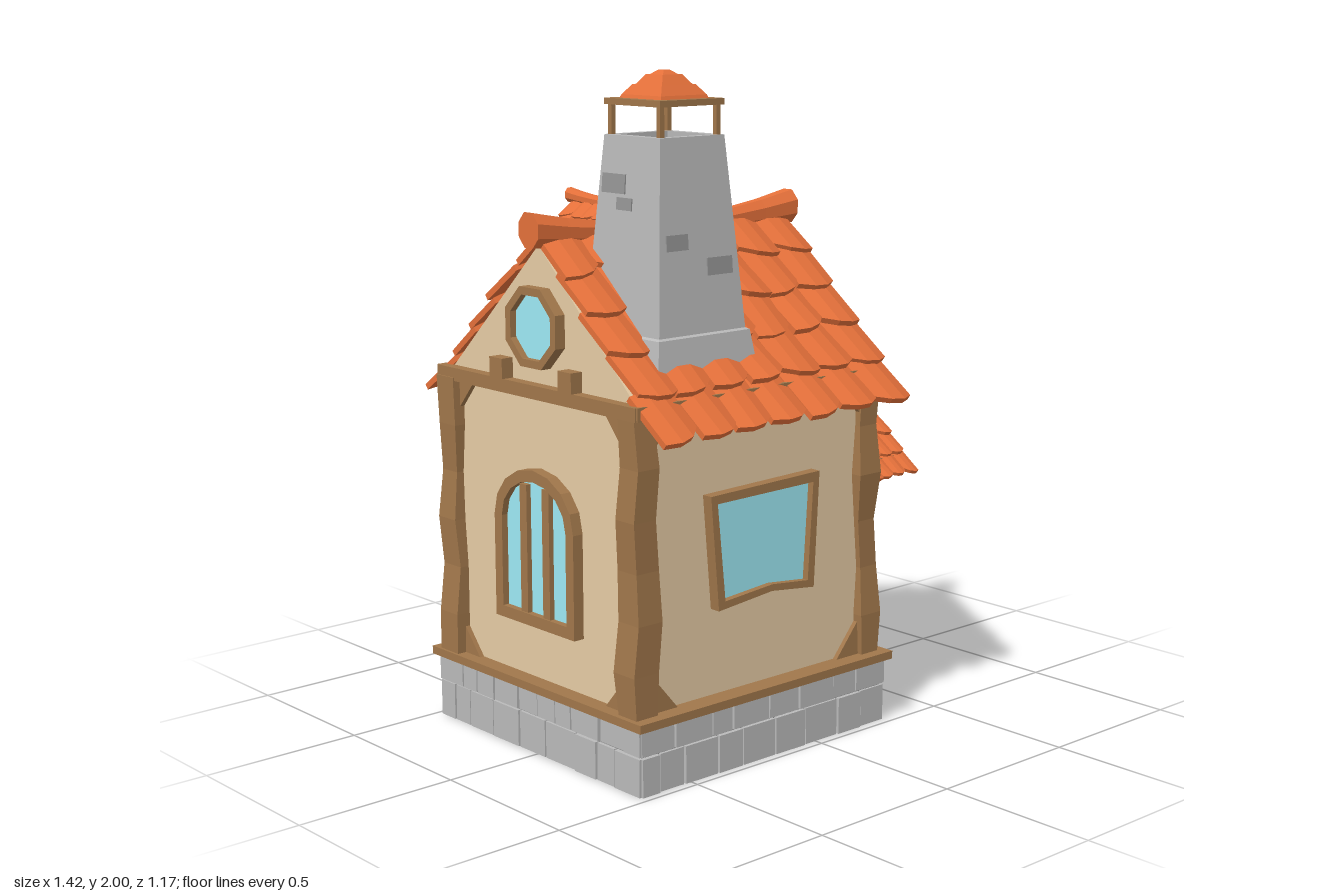
import * as THREE from 'three';
import { mergeGeometries } from 'three/addons/utils/BufferGeometryUtils.js';

const mat = (color) => new THREE.MeshStandardMaterial({ color, flatShading: true, side: THREE.DoubleSide });
const M = {
  tile: mat(0xe4703a), wood: mat(0xa1774b), wall: mat(0xe6cca5), stone: mat(0xbababa), mortar: mat(0x959595),
  glass: mat(0x9eeaf5), door: mat(0x885a49), iron: mat(0x59402f),
};
const CX = -0.205, HX = 0.45, HZ = 0.43; // house centre and half sizes

let seed = 7;
const rnd = (a = 1) => { seed = (seed * 16807) % 2147483647; return (seed / 2147483647 - 0.5) * 2 * a; };

function add(parent, name, geo, m, x = 0, y = 0, z = 0) {
  const mesh = new THREE.Mesh(geo, m);
  mesh.name = name;
  mesh.position.set(x, y, z);
  parent.add(mesh);
  return mesh;
}
function group(parent, name, x = 0, y = 0, z = 0, ry = 0) {
  const g = new THREE.Group();
  g.name = name;
  g.position.set(x, y, z);
  g.rotation.y = ry;
  parent.add(g);
  return g;
}
const box = (p, name, m, w, h, d, x, y, z) => add(p, name, new THREE.BoxGeometry(w, h, d), m, x, y, z);

// Square bar between two points
function bar(p, name, m, a, b, t) {
  const A = new THREE.Vector3(...a), B = new THREE.Vector3(...b);
  const mesh = box(p, name, m, t, t, A.distanceTo(B), 0, 0, 0);
  mesh.position.copy(A).add(B).multiplyScalar(0.5);
  mesh.quaternion.setFromUnitVectors(new THREE.Vector3(0, 0, 1), B.sub(A).normalize());
}
const shapeOf = (pts) => new THREE.Shape(pts.map((p) => new THREE.Vector2(...p)));
function panel(p, name, m, pts, depth, z = 0, hole) {
  const s = shapeOf(pts);
  if (hole) s.holes.push(shapeOf(hole));
  return add(p, name, new THREE.ExtrudeGeometry(s, { depth, bevelEnabled: false }), m, 0, 0, z);
}
// Framed pane lying on a wall
function windowOn(p, name, outer, inner, pane = M.glass) {
  const g = group(p, name);
  panel(g, 'windowFrame', M.wood, outer, 0.045, -0.01, inner);
  panel(g, 'windowPane', pane, inner, 0.01, 0.004);
  return g;
}

// Arched roof tile with a crooked, pointed lower edge
function tileGeo(w, l, t) {
  const g = new THREE.BoxGeometry(w, t, l, 3, 1, 1), p = g.attributes.position;
  const skew = rnd(0.14);
  for (let i = 0; i < p.count; i++) {
    const u = p.getX(i) / w, mid = Math.abs(u) < 0.3;
    if (mid) p.setY(i, p.getY(i) + w * 0.09);
    if (p.getZ(i) > 0) p.setZ(i, p.getZ(i) + l * ((mid ? 0.05 : -0.09) + skew * u * 2));
  }
  return g;
}
// Both slopes of a gable roof, ridge along local x, with tiles in rows
function gableRoof(p, name, w, run, rise, cols, rows, keep = () => true) {
  const g = group(p, name), angle = Math.atan2(rise, run), len = Math.hypot(run, rise);
  for (const side of [0, 1]) {
    const half = group(g, 'roofSlope', 0, 0, 0, side * Math.PI), slope = group(half, 'slopePlane');
    slope.rotation.x = angle;
    const tw = w / cols, tl = len / rows, list = [];
    for (let r = 0; r < rows; r++) {
      const shift = rnd(0.07) * tw;
      for (let c = 0; c < cols; c++) {
        const x = (c + 0.5) * tw - w / 2, z = (r + 0.46) * tl;
        if (!keep(side ? -x : x, z * Math.sin(angle))) continue;
        const t = tileGeo(tw * 1.04, tl * 1.22, 0.1 * tl + 0.004);
        t.rotateY(rnd(0.05)).rotateX(-0.13 + rnd(0.04));
        list.push(t.translate(x + shift + rnd(0.03) * tw, 0.011 + rnd(0.002), z));
      }
    }
    add(slope, 'roofTiles', mergeGeometries(list), M.tile);
  }
}
// Sagging ridge cap that flares toward its ends
function ridge(p, w, rMid, rEnd, lift) {
  const g = new THREE.CylinderGeometry(1, 1, w, 8, 8).rotateY(Math.PI / 8).rotateZ(Math.PI / 2), v = g.attributes.position;
  for (let i = 0; i < v.count; i++) {
    const t = (2 * v.getX(i) / w) ** 2, r = rMid + (rEnd - rMid) * t;
    v.setXYZ(i, v.getX(i), v.getY(i) * r + lift * t, v.getZ(i) * r * 0.88);
  }
  return add(p, 'ridgeCap', g, M.tile);
}
// Slightly crooked upright timber
function post(p, x, z, y0, y1, t) {
  const g = new THREE.BoxGeometry(t, y1 - y0, t, 1, 6, 1), v = g.attributes.position;
  const off = Array.from({ length: 7 }, () => [rnd(0.1 * t), rnd(0.1 * t), 1 + rnd(0.16)]);
  for (let i = 0; i < v.count; i++) {
    const o = off[Math.round((v.getY(i) / (y1 - y0) + 0.5) * 6)];
    v.setXYZ(i, v.getX(i) * o[2] + o[0], v.getY(i), v.getZ(i) * o[2] + o[1]);
  }
  add(p, 'cornerPost', g, M.wood, x, (y0 + y1) / 2, z);
}

function foundation(root) {
  const g = group(root, 'foundation', -0.2);
  for (let s = 0; s < 4; s++) {
    const ends = s % 2, half = ends ? 0.478 : 0.49, out = ends ? 0.49 : 0.478;
    const side = group(g, 'foundationSide', 0, 0, 0, s * Math.PI / 2);
    box(side, 'mortar', M.mortar, half * 2 - 0.02, 0.196, 0.02, 0, 0.1, out - 0.02);
    for (const row of [0, 1]) {
      let x = -half;
      while (x < half - 0.01) {
        let w = 0.11 + rnd(0.04);
        if (x + w > half - 0.06) w = half - x;
        const h = row ? 0.08 : 0.112;
        box(side, 'stone', M.stone, w - 0.006, h, 0.042, x + w / 2, row ? 0.16 : 0.058, out - 0.02 + rnd(0.004));
        x += w;
      }
    }
    box(side, 'sillBeam', M.wood, half * 2 + 0.036, 0.025, 0.13, 0, 0.21, out - 0.047);
  }
}

function walls(root) {
  const sides = [];
  for (let s = 0; s < 4; s++) {
    const ends = s % 2, hw = ends ? HZ : HX, out = ends ? HX : HZ, a = s * Math.PI / 2;
    const g = group(root, ['frontWall', 'rightWall', 'backWall', 'leftWall'][s], CX + Math.sin(a) * out, 0, Math.cos(a) * out, a);
    const top = ends ? [[hw, 1.1], [0, 1.51], [-hw, 1.1]] : [[hw, 1.1], [-hw, 1.1]];
    panel(g, 'plaster', M.wall, [[-hw, 0.2], [hw, 0.2], ...top], 0.02, -0.02);
    for (const m of [-1, 1]) {
      const e = m * (hw - 0.02), f = m * (hw - 0.14);
      panel(g, 'lowerBrace', M.wood, [[e, 0.21], [f, 0.21], [e, 0.35]], 0.015);
      panel(g, 'upperBrace', M.wood, [[e, 1.09], [f, 1.09], [e, 0.95]], 0.015);
      if (ends) box(g, 'joistEnd', M.wood, 0.06, 0.06, 0.1, m * 0.16, 1.14, s === 1 ? 0.03 : -0.01);
    }
    box(g, 'topBeam', M.wood, hw * 2 + 0.06, 0.04, 0.06, 0, 1.09, 0.005);
    if (ends) {
      const oct = (r) => Array.from({ length: 8 }, (_, i) => [r * Math.cos((i + 0.5) * Math.PI / 4), 1.275 + r * Math.sin((i + 0.5) * Math.PI / 4)]);
      windowOn(g, 'gableWindow', oct(0.125), oct(0.1));
    } else {
      windowOn(g, 'crookedWindow', [[-0.18, 0.48], [0.03, 0.5], [0.2, 0.48], [0.22, 0.83], [-0.21, 0.82]],
        [[-0.155, 0.505], [0.03, 0.52], [0.175, 0.505], [0.195, 0.8], [-0.185, 0.795]]);
    }
    sides.push(g);
  }
  for (const x of [-1, 1]) for (const z of [-1, 1]) post(root, CX + x * 0.445, z * 0.42, 0.2, 1.08, 0.078);

  // Arched window with three lights
  const arch = (w, y0, y1, h) => [[-w, y0], [w, y0], ...Array.from({ length: 9 }, (_, i) => [w * Math.cos(i * Math.PI / 8), y1 + h * Math.sin(i * Math.PI / 8)])];
  const aw = windowOn(sides[3], 'archedWindow', arch(0.185, 0.39, 0.7, 0.16), arch(0.15, 0.425, 0.7, 0.125));
  for (const x of [-0.052, 0.052]) box(aw, 'mullion', M.wood, 0.032, 0.39, 0.03, x, 0.615, 0.015);

  // Plank door
  const d = group(sides[1], 'door');
  panel(d, 'doorFrame', M.wood, [[-0.135, 0.22], [0.15, 0.22], [0.142, 0.645], [-0.145, 0.645]], 0.035, -0.005,
    [[-0.115, 0.221], [0.13, 0.221], [0.122, 0.63], [-0.125, 0.63]]);
  for (let i = 0; i < 5; i++) box(d, 'doorPlank', M.door, 0.047, 0.4, 0.03, -0.097 + i * 0.05, 0.425, 0.008 + rnd(0.003));
  add(d, 'doorKnob', new THREE.SphereGeometry(0.012, 8, 6), M.wood, 0.105, 0.42, 0.028);
}

function chimney(root) {
  const g = group(root, 'chimney', -0.365, 0, 0.212);
  const square = (name, pts, m) => add(g, name, new THREE.LatheGeometry(pts.map(([r, y]) => new THREE.Vector2(r * Math.SQRT2, y)), 4, Math.PI / 4), m);
  square('chimneyStack', [[0.186, 1.17], [0.172, 1.265], [0.163, 1.27], [0.12, 1.82], [0.095, 1.82], [0.1, 1.65], [0, 1.65]], M.stone);
  for (let s = 0; s < 4; s++) {
    const side = group(g, 'chimneyFace', 0, 0, 0, s * Math.PI / 2), alt = s % 2;
    for (const [x, y, w, h] of alt ? [[-0.065, 1.685, 0.1, 0.055], [-0.015, 1.63, 0.065, 0.035]] : [[-0.08, 1.53, 0.08, 0.045], [0.075, 1.455, 0.095, 0.05]]) {
      const b = box(side, 'raisedStone', M.mortar, w, h, 0.01, x, y, 0.162 - (y - 1.27) * 0.078);
      b.rotation.x = -0.078;
    }
  }
  for (const x of [-1, 1]) for (const z of [-1, 1]) box(g, 'capPost', M.wood, 0.015, 0.1, 0.015, x * 0.105, 1.86, z * 0.105);
  box(g, 'capPlate', M.wood, 0.24, 0.018, 0.24, 0, 1.913, 0);
  square('capTiles', [[0.09, 1.92], [0.085, 1.932], [0.063, 1.96], [0.06, 1.956], [0.036, 1.988], [0.032, 1.985], [0.012, 2], [0, 2]], M.tile);
}

function dormer(root) {
  const g = group(root, 'dormer', -0.17, 0, -0.42, Math.PI);
  panel(g, 'dormerWall', M.wall, [[-0.165, 1.14], [0.165, 1.14], [0.165, 1.36], [0, 1.53], [-0.165, 1.36]], 0.27, -0.27);
  box(g, 'dormerBeam', M.wood, 0.37, 0.025, 0.03, 0, 1.355, 0.005);
  for (const m of [-1, 1]) {
    box(g, 'dormerPost', M.wood, 0.03, 0.22, 0.03, m * 0.155, 1.25, 0);
    box(g, 'dormerJoist', M.wood, 0.03, 0.03, 0.05, m * 0.065, 1.38, 0.01);
  }
  const rect = (w, h) => [[-w, 1.265 - h], [w, 1.265 - h], [w, 1.265 + h], [-w, 1.265 + h]];
  const win = windowOn(g, 'dormerWindow', rect(0.07, 0.06), rect(0.052, 0.043), M.wall);
  box(win, 'windowBarUpright', M.wood, 0.012, 0.1, 0.02, 0, 1.265, 0.01);
  box(win, 'windowBarLevel', M.wood, 0.11, 0.012, 0.02, 0, 1.265, 0.01);
  const shutter = group(win, 'shutter', 0, 1.305, 0.025);
  shutter.rotation.x = 0.6;
  for (let i = 0; i < 4; i++) box(shutter, 'shutterSlat', M.door, 0.024, 0.008, 0.075, -0.042 + i * 0.028, 0, 0.038);
  for (const z of [0.015, 0.06]) box(shutter, 'shutterBatten', M.door, 0.11, 0.006, 0.012, 0, 0.006, z);
  // Roof turned to run front to back, tiles under the main roof left out
  const r = group(root, 'dormerTop', -0.17, 1.56, -0.235, Math.PI / 2);
  gableRoof(r, 'dormerRoof', 0.42, 0.222, 0.215, 8, 5, (x, drop) => 1.56 - drop > 1.5 - 0.95 * (x + 0.235));
  ridge(r, 0.46, 0.018, 0.024, 0.015).position.y = 0.012;
}

function porch(root) {
  const g = group(root, 'porch', 0.46, 0.96, 0);
  gableRoof(g, 'porchRoof', 0.32, 0.285, 0.262, 6, 5);
  ridge(g, 0.36, 0.02, 0.028, 0.02).position.set(-0.01, 0.013, 0);
  const gable = group(g, 'porchGable', 0.1, -0.96, 0, Math.PI / 2);
  panel(gable, 'gableInfill', M.wall, [[-0.23, 0.75], [0.23, 0.75], [0, 0.955]], 0.015);
  for (const x of [-0.07, 0.07]) box(gable, 'porchJoist', M.wood, 0.03, 0.03, 0.05, x, 0.775, 0.015);
  box(g, 'ceiling', M.wall, 0.3, 0.01, 0.44, -0.05, -0.202, 0);
  for (let i = 0; i < 5; i++) box(g, 'ceilingBeam', M.wood, 0.035, 0.025, 0.49, 0.12 - i * 0.07, -0.217, 0);

  // Hanging lantern
  const l = group(root, 'lantern', 0.674, 0, 0);
  bar(l, 'bracket', M.iron, [-0.08, 0.778, 0], [0, 0.778, 0], 0.012);
  bar(l, 'hook', M.iron, [0, 0.784, 0], [0, 0.735, 0], 0.01);
  add(l, 'lanternRoof', new THREE.CylinderGeometry(0.015, 0.05, 0.025, 4).rotateY(Math.PI / 4), M.iron, 0, 0.742, 0);
  box(l, 'lanternBase', M.iron, 0.042, 0.012, 0.042, 0, 0.643, 0);
  for (const x of [-1, 1]) for (const z of [-1, 1]) bar(l, 'lanternBar', M.iron, [x * 0.017, 0.64, z * 0.017], [x * 0.028, 0.735, z * 0.028], 0.007);
}

function deck(root) {
  const g = group(root, 'deckAndStairs'), X = 0.522;
  for (let i = 0; i < 5; i++) box(g, 'deckPlank', M.wood, 0.25, 0.022, 0.064, 0.415, 0.21 + rnd(0.002), 0.14 - i * 0.067);
  for (const z of [0.16, -0.145]) {
    box(g, 'deckLeg', M.wood, 0.03, 0.2, 0.03, X - 0.005, 0.1, z);
    box(g, 'legFoot', M.wood, 0.042, 0.025, 0.042, X - 0.005, 0.0125, z);
  }
  bar(g, 'frontRail', M.wood, [0.285, 0.34, 0.165], [X + 0.008, 0.34, 0.165], 0.014);
  bar(g, 'sideRail', M.wood, [X, 0.34, 0.172], [X, 0.34, -0.19], 0.014);
  bar(g, 'stairRail', M.wood, [X, 0.34, -0.185], [X, 0.165, -0.475], 0.014);
  for (const x of [0.295, 0.365, 0.44]) box(g, 'baluster', M.wood, 0.011, 0.13, 0.011, x, 0.275, 0.165);
  for (const z of [0.165, 0.075, -0.015, -0.105, -0.185]) box(g, 'baluster', M.wood, 0.011, 0.13, 0.011, X, 0.275, z);
  for (let i = 0; i < 4; i++) {
    const z = -0.218 - i * 0.076, y = 0.152 - i * 0.046;
    box(g, 'stairTread', M.wood, 0.242, 0.02, 0.085, 0.419, y, z);
    bar(g, 'stairBaluster', M.wood, [X, y, z - 0.025], [X, y + 0.155, z - 0.025], 0.011);
  }
  for (const x of [0.32, 0.51]) bar(g, 'stringer', M.wood, [x, 0.185, -0.15], [x, 0.012, -0.44], 0.018);
}

export function createModel() {
  const root = new THREE.Group();
  root.name = 'cottage';
  foundation(root);
  walls(root);
  const top = group(root, 'mainRoof', -0.18, 1.522, 0);
  gableRoof(top, 'mainTiles', 0.96, 0.535, 0.51, 7, 5);
  ridge(top, 1.02, 0.03, 0.055, 0.032);
  chimney(root);
  dormer(root);
  porch(root);
  deck(root);
  return root;
}
